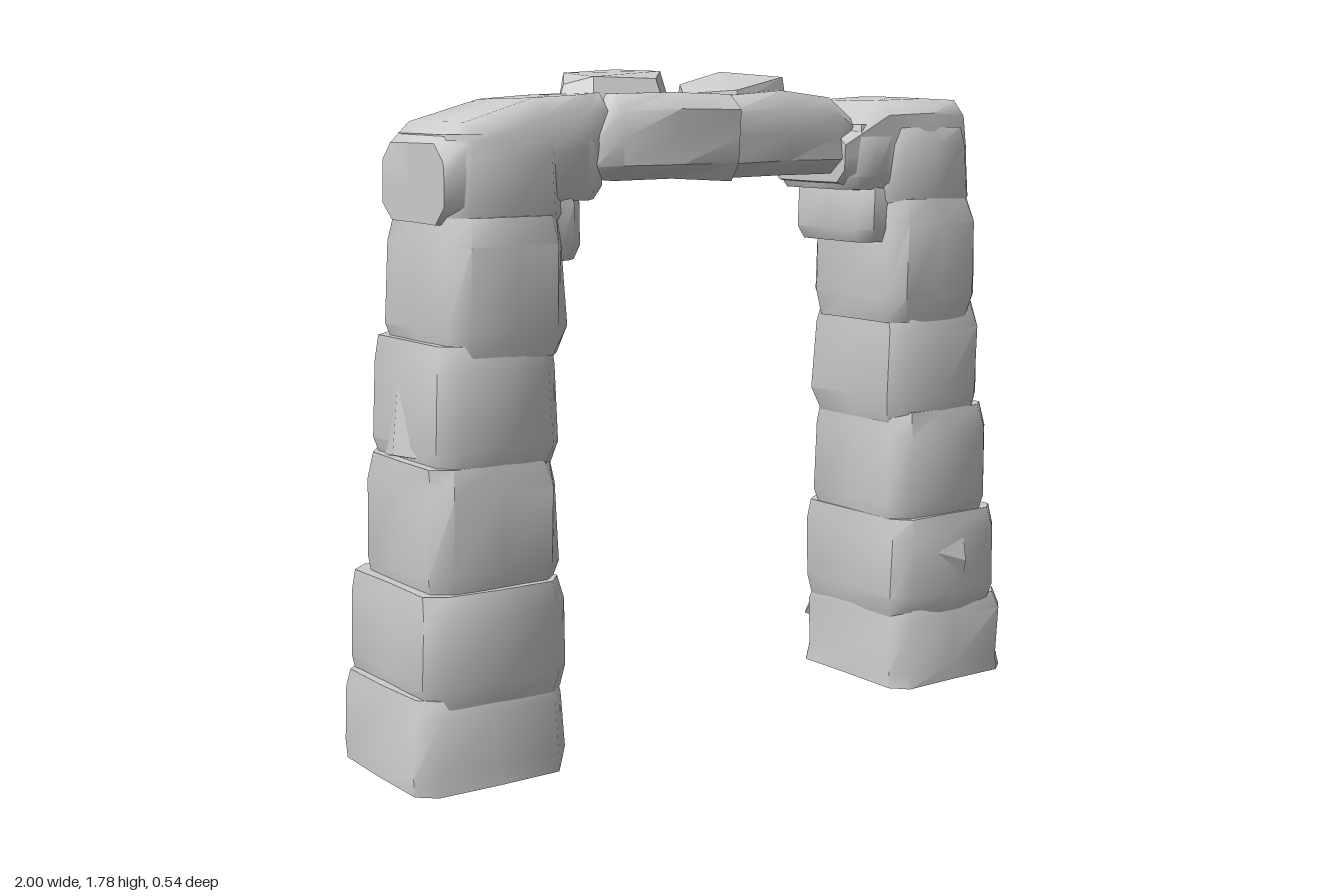
import * as THREE from 'three';
import { toCreasedNormals } from 'three/addons/utils/BufferGeometryUtils.js';
import { ConvexGeometry } from 'three/addons/geometries/ConvexGeometry.js';

const material = new THREE.MeshStandardMaterial({ color: 0xcccccc });

let seed = 7;
function rand() {
  seed = (seed * 16807) % 2147483647;
  return seed / 2147483647;
}

// Chamfered rectangle with a mid point on each side, worn slightly inward
function section(a0, a1, b0, b1, wear) {
  const c = Math.min(0.045, (a1 - a0) * 0.25, (b1 - b0) * 0.25);
  const am = (a0 + a1) / 2, bm = (b0 + b1) / 2;
  const points = [
    [a1, bm], [a1, b1 - c], [a1 - c, b1], [am, b1], [a0 + c, b1], [a0, b1 - c],
    [a0, bm], [a0, b0 + c], [a0 + c, b0], [am, b0], [a1 - c, b0], [a1, b0 + c],
  ];
  return points.map(([a, b]) => {
    const s = 1 - wear * rand();
    return [am + (a - am) * s, bm + (b - bm) * s];
  });
}

// Closed stone lofted along an axis; each ring is [position, a0, a1, z0, z1]
function stone(name, axis, rings, wear = 0.06) {
  const position = [], index = [], n = 12;
  const add = (t, a, b) => position.push(...(axis === 'y' ? [a, t, b] : [t, a, b]));
  const face = (a, b, c) => index.push(...(axis === 'y' ? [a, b, c] : [a, c, b]));
  for (const [t, a0, a1, b0, b1] of rings) {
    for (const [a, b] of section(a0, a1, b0, b1, wear)) add(t, a, b);
  }
  for (const [t, a0, a1, b0, b1] of [rings[0], rings[rings.length - 1]]) {
    add(t, (a0 + a1) / 2, (b0 + b1) / 2);
  }
  const bottom = rings.length * n, last = (rings.length - 1) * n;
  for (let j = 0; j < n; j++) {
    const k = (j + 1) % n;
    for (let r = 0; r < last; r += n) {
      face(r + j, r + n + j, r + k);
      face(r + k, r + n + j, r + n + k);
    }
    face(bottom, j, k);
    face(bottom + 1, last + k, last + j);
  }
  const geometry = new THREE.BufferGeometry();
  geometry.setAttribute('position', new THREE.Float32BufferAttribute(position, 3));
  geometry.setIndex(index);
  const mesh = new THREE.Mesh(toCreasedNormals(geometry, 0.85), material);
  mesh.name = name;
  return mesh;
}

// Upright block with a slight bulge and narrowed edges
function block(name, x0, x1, y0, y1, z0, z1) {
  const h = y1 - y0, e = 0.015;
  const foot = y0 === 0 ? 0 : e;
  return stone(name, 'y', [
    [y0, x0 + foot, x1 - foot, z0 + foot, z1 - foot],
    [y0 + h * 0.2, x0, x1, z0, z1],
    [y0 + h * 0.8, x0 + 0.008, x1 - 0.004, z0, z1],
    [y1, x0 + e, x1 - e, z0 + e, z1 - e],
  ], 0.05);
}

// Small angular fragment
function chip(name, points) {
  const geometry = new ConvexGeometry(points.map((p) => new THREE.Vector3(...p)));
  const mesh = new THREE.Mesh(geometry, material);
  mesh.name = name;
  return mesh;
}

// Stacked courses: [y0, y1, inner x, outer x, z0, z1]
const courses = [
  [0, 0.24, 0.555, 1.0, -0.215, 0.26],
  [0.21, 0.5, 0.55, 0.975, -0.22, 0.265],
  [0.47, 0.81, 0.555, 0.94, -0.19, 0.245],
  [0.78, 1.11, 0.55, 0.91, -0.19, 0.24],
  [1.07, 1.42, 0.53, 0.88, -0.16, 0.245],
  [1.37, 1.62, 0.53, 0.865, -0.155, 0.225],
];

function pillar(name, side) {
  const group = new THREE.Group();
  group.name = name;
  const span = (a, b) => (side > 0 ? [a, b] : [-b, -a]);
  courses.forEach(([y0, y1, inner, outer, z0, z1], i) => {
    group.add(block('course' + (i + 1), ...span(inner, outer), y0, y1, z0, z1));
  });
  // Stepped stones carrying the lintel
  group.add(block('lowerCorbel', ...span(0.455, 0.62), 1.3, 1.48, -0.14, 0.19));
  group.add(block('upperCorbel', ...span(0.39, 0.6), 1.45, 1.63, -0.15, 0.2));
  return group;
}

export function createModel() {
  const model = new THREE.Group();
  model.name = 'stoneArch';
  model.add(pillar('rightPillar', -1), pillar('leftPillar', 1));

  // Corner stones over the pillars
  model.add(stone('rightCornerStone', 'x', [
    [-0.875, 1.4, 1.6, -0.12, 0.2],
    [-0.8, 1.4, 1.65, -0.16, 0.215],
    [-0.6, 1.4, 1.71, -0.16, 0.21],
    [-0.46, 1.45, 1.715, -0.15, 0.2],
    [-0.38, 1.51, 1.72, -0.13, 0.17],
  ], 0.05));
  model.add(stone('leftCornerStone', 'x', [
    [0.39, 1.47, 1.61, -0.14, 0.19],
    [0.54, 1.42, 1.7, -0.16, 0.2],
    [0.7, 1.4, 1.705, -0.155, 0.21],
    [0.83, 1.4, 1.7, -0.15, 0.2],
    [0.855, 1.4, 1.6, -0.13, 0.18],
  ], 0.05));

  // Lintel in two lengths
  model.add(stone('lintelRightHalf', 'x', [
    [-0.43, 1.5, 1.63, -0.13, 0.18],
    [-0.36, 1.49, 1.72, -0.15, 0.21],
    [-0.18, 1.49, 1.725, -0.155, 0.215],
    [0.01, 1.485, 1.72, -0.15, 0.215],
  ], 0.07));
  model.add(stone('lintelLeftHalf', 'x', [
    [-0.01, 1.485, 1.715, -0.16, 0.205],
    [0.2, 1.49, 1.725, -0.16, 0.19],
    [0.38, 1.49, 1.71, -0.16, 0.18],
    [0.45, 1.51, 1.65, -0.14, 0.17],
  ], 0.07));

  // Loose slabs lying on the lintel
  model.add(chip('flatSlab', [
    [-0.46, 1.7, 0.06], [-0.36, 1.7, -0.08], [-0.16, 1.7, -0.13], [-0.11, 1.7, 0.05],
    [-0.2, 1.7, 0.15], [-0.4, 1.7, 0.13], [-0.44, 1.74, 0.05], [-0.37, 1.77, -0.06],
    [-0.17, 1.78, -0.12], [-0.13, 1.775, 0.04], [-0.2, 1.755, 0.12], [-0.38, 1.76, 0.1],
  ]));
  model.add(chip('tiltedSlab', [
    [0.02, 1.7, -0.09], [0.18, 1.7, -0.12], [0.25, 1.69, 0.1], [0.05, 1.69, 0.15],
    [0.02, 1.74, -0.08], [0.18, 1.775, -0.11], [0.245, 1.76, 0.09], [0.05, 1.725, 0.14],
    [-0.04, 1.715, 0.02],
  ]));

  // Broken fragments standing proud of the pillars
  model.add(chip('backSpur', [
    [0.57, 0.14, -0.19], [0.76, 0.15, -0.19], [0.66, 0.24, -0.19],
    [0.67, 0.17, -0.272], [0.63, 0.11, -0.19],
  ]));
  model.add(chip('frontFlake', [
    [0.62, 0.42, 0.24], [0.81, 0.48, 0.24], [0.81, 0.24, 0.24], [0.8, 0.36, 0.272],
  ]));
  model.add(chip('sideFlake', [
    [0.89, 0.8, 0.03], [0.89, 0.92, -0.18], [0.89, 0.79, -0.18], [0.935, 0.8, -0.14],
  ]));
  model.add(chip('outerFlake', [
    [-0.89, 0.8, -0.12], [-0.89, 1.06, -0.02], [-0.89, 0.82, 0.12], [-0.925, 0.82, 0],
  ]));
  return model;
}
